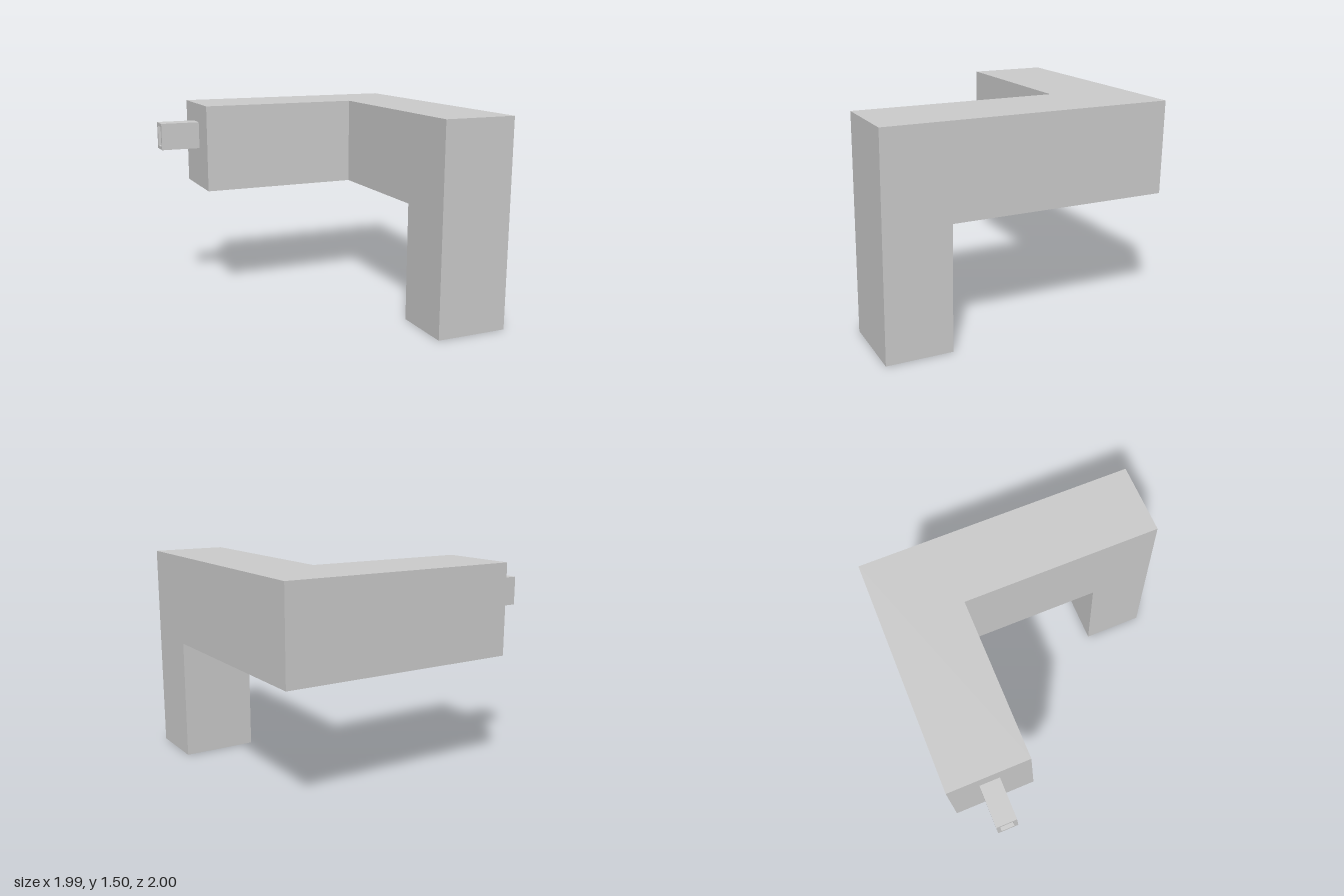
import * as THREE from 'three';

const material = new THREE.MeshStandardMaterial({ color: 0xcccccc, flatShading: true });

// Extrudes a shape by depth, without bevels
function extrude(name, shape, depth) {
  const mesh = new THREE.Mesh(new THREE.ExtrudeGeometry(shape, { depth, bevelEnabled: false }), material);
  mesh.name = name;
  return mesh;
}

const polygon = (points) => points.map(([x, y]) => new THREE.Vector2(x, y));
const rectangle = (x0, y0, x1, y1) => polygon([[x0, y0], [x1, y0], [x1, y1], [x0, y1]]);

export function createModel() {
  const group = new THREE.Group();
  group.name = 'bentDuct';

  // Horizontal L-shaped duct, drawn in plan (x, -z) and extruded upwards
  const plan = new THREE.Shape(polygon([
    [-0.705, 0.43], [0.465, 0.43], [0.465, -1], [0.995, -1], [0.995, 1], [-0.705, 1],
  ]));
  const duct = extrude('horizontalDuct', plan, 0.64);
  duct.rotation.x = -Math.PI / 2;
  duct.position.y = 0.86;
  group.add(duct);

  // Vertical leg under the front end
  const leg = new THREE.Mesh(new THREE.BoxGeometry(0.53, 0.86, 0.455), material);
  leg.name = 'verticalLeg';
  leg.position.set(0.73, 0.43, 0.7725);
  group.add(leg);

  // Hollow rectangular stub on the end face, drawn in (-z, y) and extruded along x
  const section = new THREE.Shape(rectangle(0.65, 1.16, 0.79, 1.36));
  section.holes.push(new THREE.Path(rectangle(0.675, 1.185, 0.765, 1.335)));
  const stub = extrude('hollowStub', section, 0.29);
  stub.rotation.y = Math.PI / 2;
  stub.position.x = -0.995;
  group.add(stub);

  return group;
}
